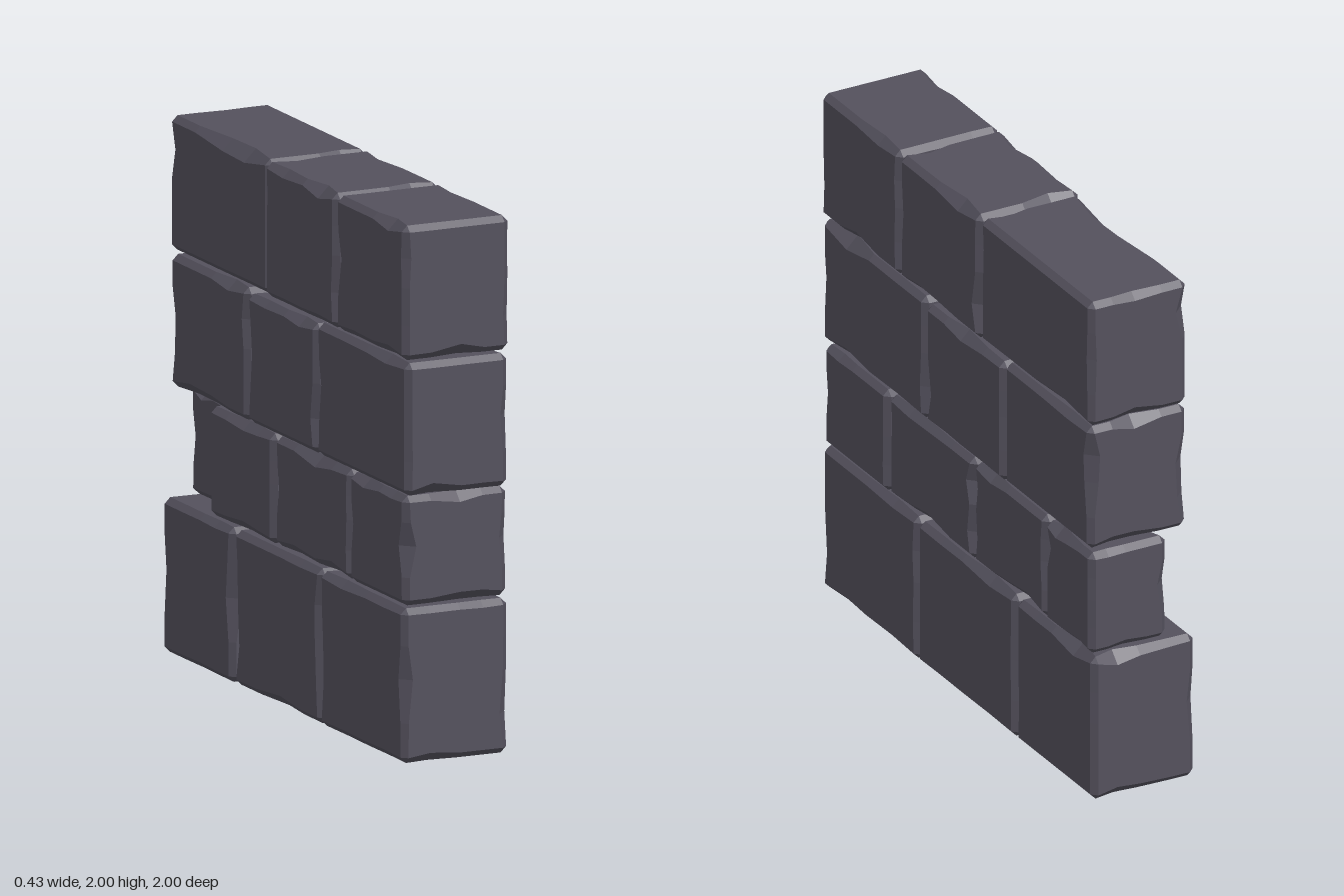
import * as THREE from 'three';

const CHAMFER = 0.022;
const SEGMENTS = 6;

function seeded(seed) {
  let s = seed;
  return () => (s = (s * 16807) % 2147483647) / 2147483647;
}

// A block with chamfered edges, some of them worn deeper along their length
function stoneGeometry(size, seed) {
  const geo = new THREE.BoxGeometry(1, 1, 1, SEGMENTS, SEGMENTS, SEGMENTS);
  const pos = geo.attributes.position;
  const rand = seeded(seed * 7919 + 13);
  for (let i = 0; i < 20; i++) rand();
  const wear = {};
  const mids = { 2: -0.24, 3: 0.04, 4: 0.26 };

  for (let v = 0; v < pos.count; v++) {
    const index = [0, 1, 2].map(a => Math.round((pos.getComponent(v, a) + 0.5) * SEGMENTS));
    const sign = index.map(i => (i <= 1 ? -1 : i >= SEGMENTS - 1 ? 1 : 0));
    const outer = index.map(i => i === 0 || i === SEGMENTS);
    const near = sign.filter(s => s !== 0).length;
    const outerCount = outer.filter(Boolean).length;

    // Chamfer width here: wider where the middle of an edge is worn
    let c = CHAMFER;
    if (near === 2) {
      const key = sign.join() + ':' + index[sign.indexOf(0)];
      if (!(key in wear)) wear[key] = 0.028 * rand() ** 5;
      c += wear[key];
    }
    const inset = outerCount === 3 ? (2 * c) / 3 : outerCount === 2 ? c / 2 : 0;
    for (let a = 0; a < 3; a++) {
      const p = sign[a] === 0
        ? mids[index[a]] * size[a]
        : sign[a] * (size[a] / 2 - (outer[a] ? inset : c));
      pos.setComponent(v, a, p);
    }
  }
  const flat = geo.toNonIndexed();
  flat.computeVertexNormals();
  return flat;
}

// Courses from the bottom up; each stone is [zFront, zBack, xMin, xMax, yTop?]
const COURSES = [
  { y: [0, 0.575], stones: [
    [0.99, 0.296, -0.215, 0.21], [0.292, -0.42, -0.21, 0.21], [-0.43, -1, -0.215, 0.21]] },
  { y: [0.583, 0.99], stones: [
    [0.98, 0.52, -0.205, 0.21], [0.512, -0.105, -0.2, 0.205],
    [-0.11, -0.635, -0.205, 0.205], [-0.642, -0.98, -0.11, 0.21]] },
  { y: [0.995, 1.488], stones: [
    [1, 0.25, -0.205, 0.205], [0.243, -0.323, -0.205, 0.205, 1.475], [-0.327, -0.955, -0.205, 0.2]] },
  { y: [1.5, 2], stones: [
    [1, 0.432, -0.215, 0.21], [0.426, -0.157, -0.215, 0.21], [-0.16, -0.97, -0.2, 0.205]] },
];

export function createModel() {
  const wall = new THREE.Group();
  wall.name = 'stoneWall';
  const stoneMaterial = new THREE.MeshStandardMaterial({ color: 0x54515d, flatShading: true });

  let seed = 1;
  COURSES.forEach(({ y, stones }, row) => {
    const course = new THREE.Group();
    course.name = `course${row + 1}`;
    stones.forEach(([z1, z0, x0, x1, top = y[1]], i) => {
      const size = [x1 - x0, top - y[0], z1 - z0];
      const stone = new THREE.Mesh(stoneGeometry(size, seed++), stoneMaterial);
      stone.name = `stone${row + 1}_${i + 1}`;
      stone.position.set((x0 + x1) / 2, (y[0] + top) / 2, (z0 + z1) / 2);
      course.add(stone);
    });
    wall.add(course);
  });
  return wall;
}
